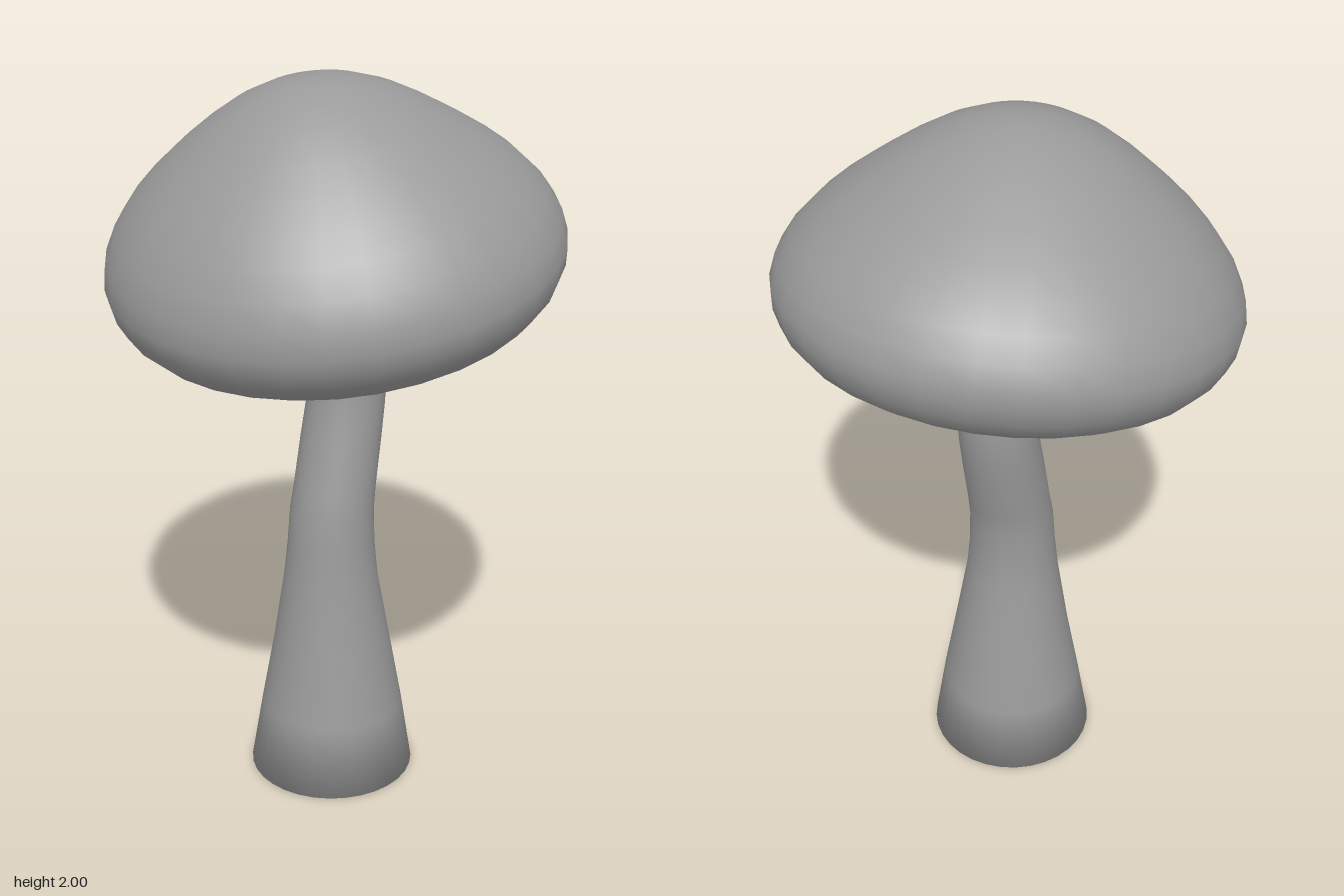
import * as THREE from 'three';
import { mergeVertices } from 'three/addons/utils/BufferGeometryUtils.js';

const material = new THREE.MeshStandardMaterial({ color: 0x9a9a9a });
const SIDES = 32;

// Revolve a [radius, height] profile (bottom to top), move each vertex
// by a rule, then rebuild seamless smooth normals.
function revolve(profile, rule) {
  let geometry = new THREE.LatheGeometry(profile.map(([r, y]) => new THREE.Vector2(r, y)), SIDES);
  const pos = geometry.attributes.position;
  const v = new THREE.Vector3();
  for (let i = 0; i < pos.count; i++) {
    rule(v.fromBufferAttribute(pos, i), profile[i % profile.length]);
    pos.setXYZ(i, v.x, v.y, v.z);
  }
  geometry.deleteAttribute('normal');
  geometry.deleteAttribute('uv');
  geometry = mergeVertices(geometry, 1e-5);
  geometry.computeVertexNormals();
  return geometry;
}

function addMesh(group, geometry, name) {
  const mesh = new THREE.Mesh(geometry, material);
  mesh.name = name;
  group.add(mesh);
  return mesh;
}

export function createModel() {
  const model = new THREE.Group();
  model.name = 'mushroom';

  // Stem with closed, softly shaded base: radius, height, drift of the centre along z
  const stem = [
    [0, 0, 0.015], [0.232, 0, 0.015], [0.2, 0.2, 0.013], [0.164, 0.4, 0.013], [0.131, 0.6, 0.018],
    [0.121, 0.7, 0.017], [0.116, 0.8, 0.013], [0.113, 0.87, -0.002], [0.111, 1.0, -0.03],
    [0.108, 1.1, -0.052], [0.105, 1.2, -0.061], [0.101, 1.29, -0.05], [0.1, 1.37, -0.025],
    [0.1, 1.45, 0],
  ];
  addMesh(model, revolve(stem, (v, [, , drift]) => { v.z += drift; }), 'stem');

  // Cap: shallow hollow underneath, rolled rim, domed top
  const cap = [
    [0, -0.18], [0.09, -0.175], [0.13, -0.147], [0.2, -0.135], [0.3, -0.142], [0.37, -0.165],
    [0.43, -0.182], [0.49, -0.167], [0.54, -0.137], [0.58, -0.092], [0.6, -0.045], [0.606, 0],
    [0.594, 0.06], [0.56, 0.125], [0.51, 0.187], [0.45, 0.245], [0.38, 0.302], [0.3, 0.36],
    [0.22, 0.41], [0.14, 0.445], [0.07, 0.462], [0, 0.467],
  ];
  // The dome leans slightly less than the rim
  const lean = (v, [r]) => {
    if (v.y > 0) v.y += 0.05 * v.z * (1 - Math.min(1, r / 0.606) ** 2);
  };
  const capMesh = addMesh(model, revolve(cap, lean), 'cap');
  capMesh.position.y = 1.535;
  capMesh.rotation.x = 0.185;

  return model;
}
